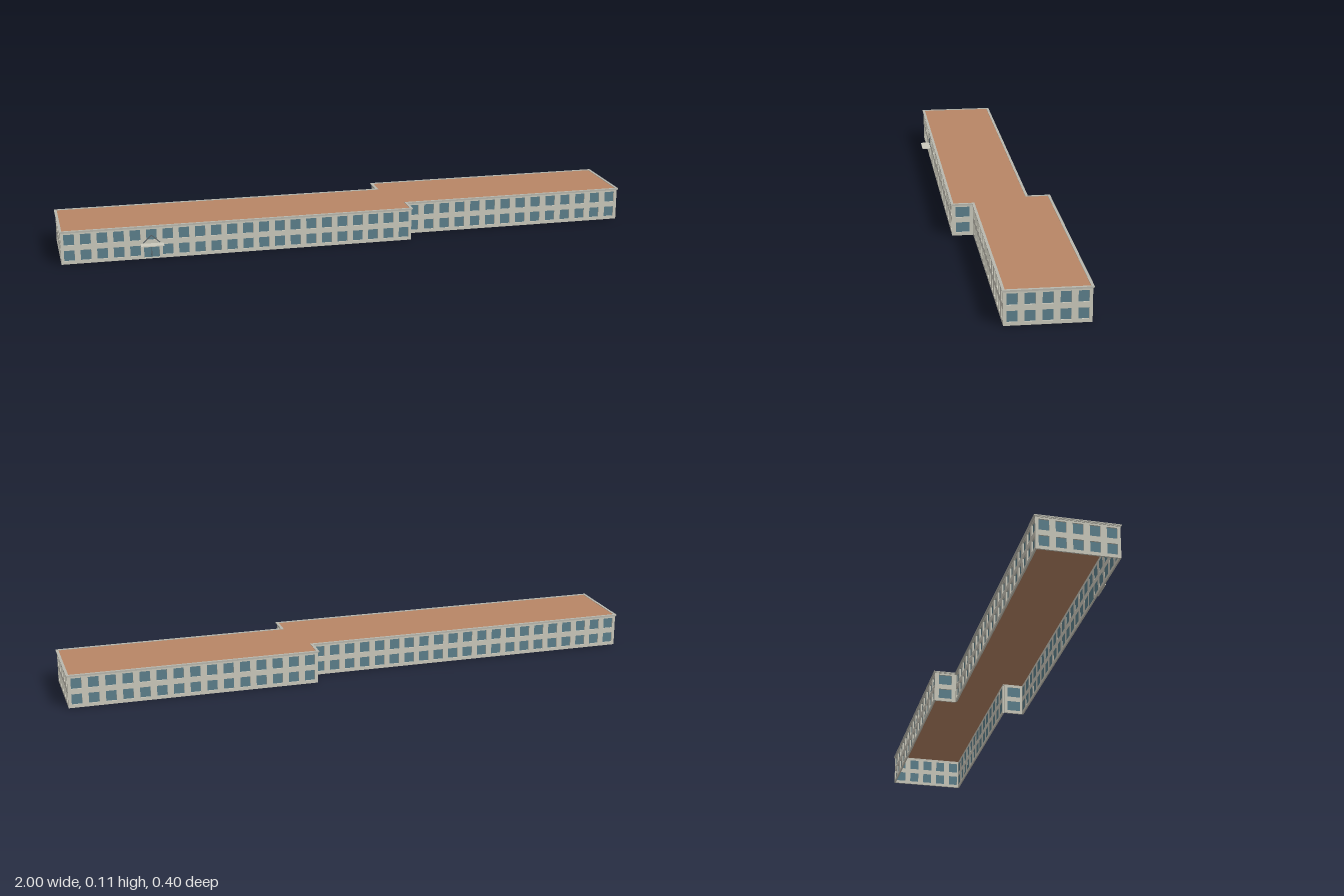
import * as THREE from 'three';

const mat = (name, color, side = THREE.FrontSide) => {
  const m = new THREE.MeshStandardMaterial({ color, side });
  m.name = name;
  return m;
};

const WALL_TOP = 0.112, THICK = 0.005;

// Footprint corners [x, z], walked with the outside on the right-hand side,
// with the number of window bays and window width of the wall that follows.
const corners = [
  { p: [-0.9925, 0.171], bays: 22, w: 0.035, name: 'frontWallRight' },
  { p: [0.207, 0.155], bays: 1, w: 0.047, name: 'frontStepWall' },
  { p: [0.206, 0.083], bays: 14, w: 0.035, name: 'frontWallLeft' },
  { p: [0.996, 0.072], bays: 5, w: 0.033, name: 'leftEndWall' },
  { p: [0.9925, -0.195], bays: 15, w: 0.035, name: 'backWallLeft' },
  { p: [0.147, -0.185], bays: 1, w: 0.047, name: 'backStepWall' },
  { p: [0.148, -0.108], bays: 21, w: 0.035, name: 'backWallRight' },
  { p: [-0.996, -0.093], bays: 5, w: 0.033, name: 'rightEndWall' },
];
const FLOORS = [[0.011, 0.047], [0.065, 0.102]];
const DOOR_BAY = 5;

const rect = (C, x0, y0, x1, y1) => {
  const s = new C();
  s.moveTo(x0, y0);
  s.lineTo(x1, y0);
  s.lineTo(x1, y1);
  s.lineTo(x0, y1);
  s.closePath();
  return s;
};

// Footprint grown outwards by d, as points on a plan where y = -z
function outline(d) {
  const n = corners.length;
  const dir = (i) => {
    const a = corners[i % n].p, b = corners[(i + 1) % n].p;
    return new THREE.Vector2(b[0] - a[0], b[1] - a[1]).normalize();
  };
  return corners.map(({ p }, i) => {
    const a = dir(i + n - 1), b = dir(i);
    const n1 = new THREE.Vector2(-a.y, a.x), n2 = new THREE.Vector2(-b.y, b.x);
    const k = d / (1 + n1.dot(n2));
    return new THREE.Vector2(p[0] + (n1.x + n2.x) * k, -(p[1] + (n1.y + n2.y) * k));
  });
}

export function createModel() {
  const group = new THREE.Group();
  const plaster = mat('plaster', 0xcbc9bc, THREE.DoubleSide);
  const trim = mat('trim', 0xb9b8ae);
  const glass = mat('glass', 0x5c7f8b, THREE.DoubleSide);
  const roofing = mat('roofing', 0xb88666, THREE.DoubleSide);
  const metal = mat('metal', 0x596266);

  const add = (parent, name, geo, material, x = 0, y = 0, z = 0) => {
    const m = new THREE.Mesh(geo, material);
    m.name = name;
    m.position.set(x, y, z);
    parent.add(m);
    return m;
  };

  // Walls with recessed windows
  corners.forEach(({ p, bays, w, name }, i) => {
    const q = corners[(i + 1) % corners.length].p;
    const dx = q[0] - p[0], dz = q[1] - p[1], len = Math.hypot(dx, dz);
    const side = new THREE.Group();
    side.name = name;
    side.position.set(p[0], 0, p[1]);
    side.rotation.y = Math.atan2(-dz, dx);
    group.add(side);

    const shape = rect(THREE.Shape, 0, 0, len, WALL_TOP);
    const panes = [];
    for (let b = 0; b < bays; b++) {
      const cx = ((b + 0.5) * len) / bays;
      FLOORS.forEach(([y0, y1], f) => {
        const door = i === 0 && b === DOOR_BAY && f === 0;
        const half = door ? 0.026 : w / 2;
        const box = door ? [cx - half, 0.004, cx + half, 0.049] : [cx - half, y0, cx + half, y1];
        shape.holes.push(rect(THREE.Path, ...box));
        panes.push(rect(THREE.Shape, ...box));
      });
      // Entrance canopy with a slim gable frame above it
      if (i === 0 && b === DOOR_BAY) {
        add(side, 'canopy', new THREE.BoxGeometry(0.078, 0.003, 0.032), plaster, cx, 0.0515, 0.016);
        for (const s of [-1, 1]) {
          const bar = add(side, 'gableBar', new THREE.BoxGeometry(0.038, 0.003, 0.002), metal,
            cx + s * 0.014, 0.068, 0.001);
          bar.rotation.z = -s * 0.75;
        }
        add(side, 'doorPost', new THREE.BoxGeometry(0.002, 0.045, 0.002), metal, cx, 0.0265, -THICK + 0.002);
      }
    }
    add(side, 'wall', new THREE.ExtrudeGeometry(shape, { depth: THICK, bevelEnabled: false }),
      plaster, 0, 0, -THICK);
    add(side, 'windows', new THREE.ShapeGeometry(panes), glass, 0, 0, -THICK + 0.0005);
  });

  // Two-step cornice around the roof edge
  [[0.002, 0.1075, 0.003], [0.004, 0.1105, 0.0035]].forEach(([d, y, h]) => {
    const ring = new THREE.Shape(outline(d));
    ring.holes.push(new THREE.Path(outline(-THICK)));
    const geo = new THREE.ExtrudeGeometry(ring, { depth: h, bevelEnabled: false });
    geo.rotateX(-Math.PI / 2);
    add(group, 'cornice', geo, trim, 0, y, 0);
  });

  // Flat roof, just below the cornice top
  const roof = new THREE.ShapeGeometry(new THREE.Shape(outline(-0.003)));
  roof.rotateX(-Math.PI / 2);
  add(group, 'roof', roof, roofing, 0, 0.1125, 0);

  return group;
}
